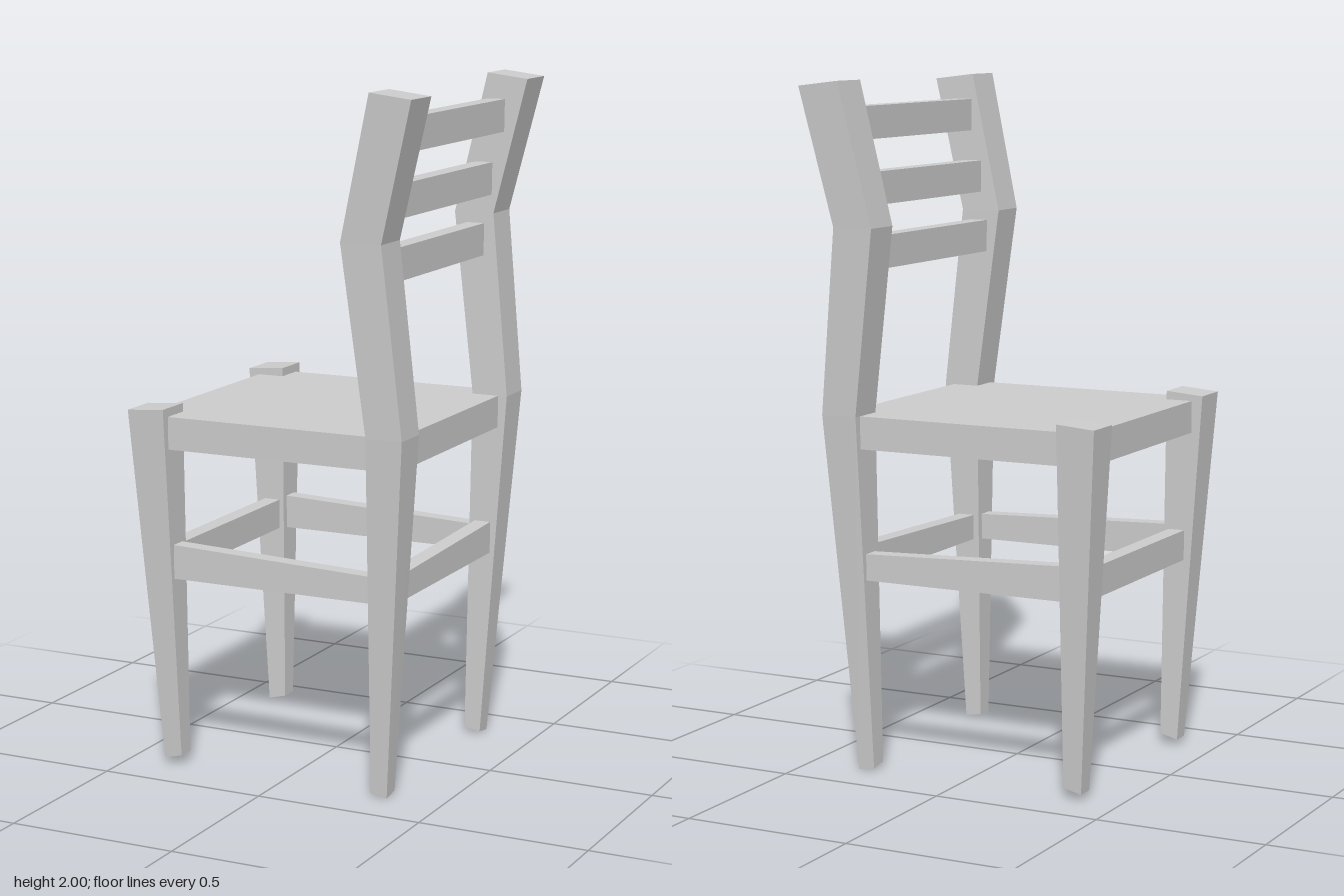
import * as THREE from 'three';

const wood = new THREE.MeshStandardMaterial({ color: 0xcccccc, flatShading: true });

// Four corners of a level or tilted section; y may be a function of (x, z)
function section(x0, x1, z0, z1, y) {
  const h = typeof y === 'function' ? y : () => y;
  return [[x0, z1], [x1, z1], [x1, z0], [x0, z0]].map(([x, z]) => [x, h(x, z), z]);
}

// Closed four-sided solid through sections listed from bottom to top
function loft(name, sections) {
  const index = [];
  const quad = (a, b, c, d) => index.push(a, b, c, a, c, d);
  const last = (sections.length - 1) * 4;
  for (let s = 0; s < last; s += 4) {
    for (let i = 0; i < 4; i++) {
      const j = (i + 1) % 4;
      quad(s + i, s + j, s + 4 + j, s + 4 + i);
    }
  }
  quad(3, 2, 1, 0);
  quad(last, last + 1, last + 2, last + 3);
  const indexed = new THREE.BufferGeometry();
  indexed.setAttribute('position', new THREE.Float32BufferAttribute(sections.flat(2), 3));
  indexed.setIndex(index);
  const geometry = indexed.toNonIndexed();
  geometry.computeVertexNormals();
  const mesh = new THREE.Mesh(geometry, wood);
  mesh.name = name;
  return mesh;
}

// Block given by its limits; the top may slope
const block = (name, x0, x1, y0, top, z0, z1) =>
  loft(name, [section(x0, x1, z0, z1, y0), section(x0, x1, z0, z1, top)]);

// Leg from rows of [x0, x1, inner z, outer z, height], mirrored by side
function leg(name, side, rows) {
  return loft(name, rows.map(([x0, x1, zi, zo, y]) =>
    section(x0, x1, Math.min(side * zi, side * zo), Math.max(side * zi, side * zo), y)));
}

export function createModel() {
  const chair = new THREE.Group();
  chair.name = 'chair';

  for (const side of [1, -1]) {
    // Bent rear posts with slightly tilted ends
    chair.add(leg('backLeg', side, [
      [0.285, 0.335, 0.305, 0.358, (x, z) => 0.008 - (x - 0.31) * 0.16 + (0.33 - Math.abs(z)) * 0.15],
      [0.298, 0.408, 0.312, 0.425, 1.05],
      [0.23, 0.353, 0.325, 0.445, 1.59],
      [0.325, 0.45, 0.337, 0.466, (x) => 2 - (x - 0.325) * 0.12],
    ]));
    // Short tapered front legs
    chair.add(leg('frontLeg', side, [
      [-0.385, -0.33, 0.305, 0.358, (x) => 0.017 + (x + 0.385) * 0.25],
      [-0.454, -0.339, 0.312, 0.428, (x) => 1.066 + (x + 0.454) * 0.08],
    ]));
    // Side seat rails and wedge-shaped side stretchers
    const span = (a, b) => [Math.min(side * a, side * b), Math.max(side * a, side * b)];
    chair.add(block('sideRail', -0.36, 0.32, 0.955, 1.045, ...span(0.35, 0.4)));
    chair.add(block('sideStretcher', -0.36, 0.32, 0.57,
      (x) => 0.658 - x * 0.037, ...span(0.33, 0.38)));
  }

  // Thin seat board within the frame
  chair.add(block('seat', -0.42, 0.38, 1.035, 1.05, -0.4, 0.4));

  // Front and back rails and stretchers
  chair.add(block('frontRail', -0.42, -0.37, 0.955, 1.045, -0.34, 0.34));
  chair.add(block('backRail', 0.33, 0.38, 0.955, 1.045, -0.34, 0.34));
  chair.add(block('frontStretcher', -0.4, -0.35, 0.57, 0.66, -0.33, 0.33));
  chair.add(block('backStretcher', 0.31, 0.36, 0.57, (x, z) => 0.655 - z * 0.03, -0.33, 0.33));

  // Three backrest slats following the bend of the posts
  for (const [x, y] of [[0.27, 1.465], [0.292, 1.645], [0.327, 1.83]]) {
    chair.add(block('backSlat', x, x + 0.054, y, y + 0.095, -0.345, 0.345));
  }

  return chair;
}
